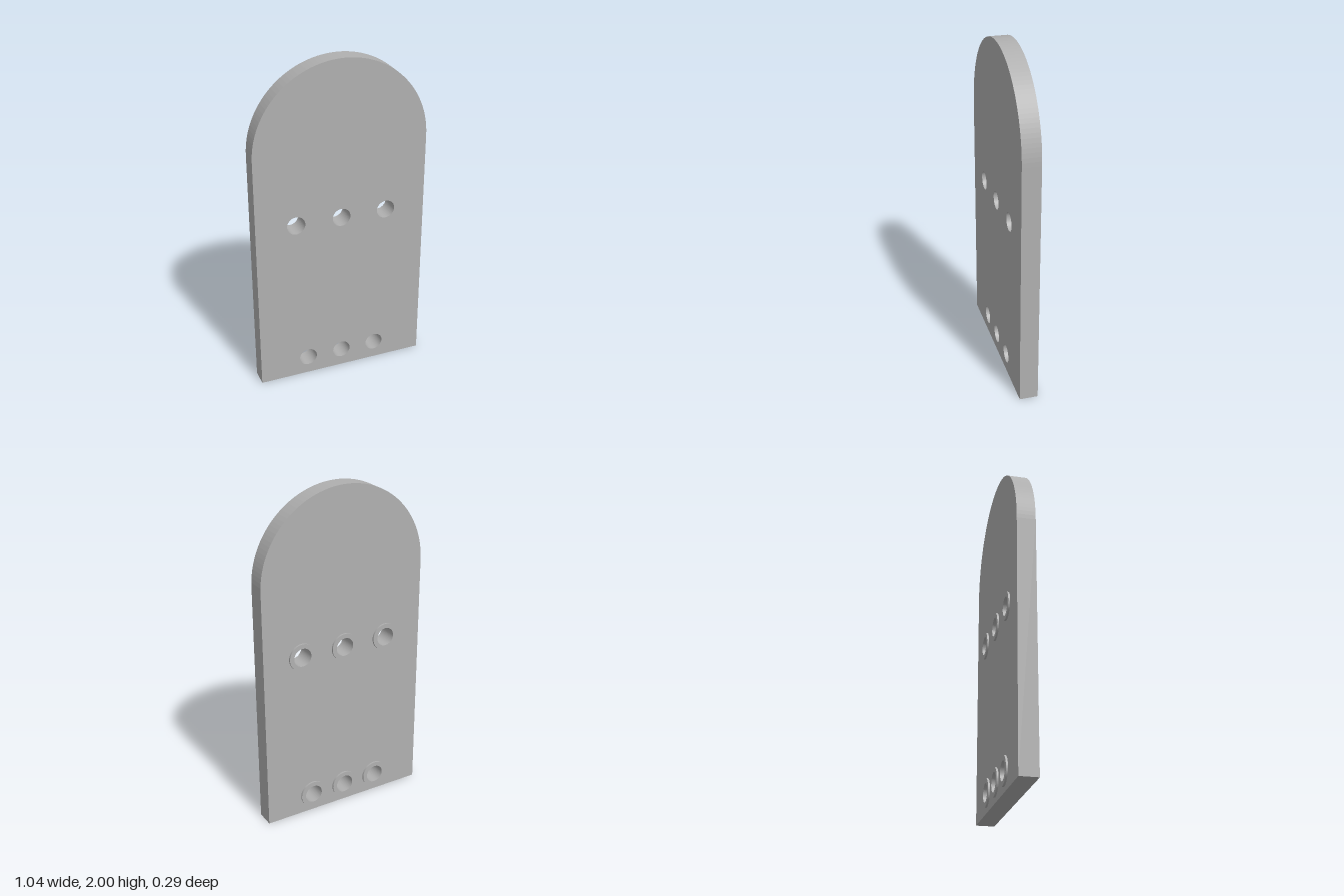
import * as THREE from 'three';

const WIDTH = 1.04, HEIGHT = 2, DEPTH = 0.109;
const HOLE_R = 0.055, RING_R = 0.082, RING_H = 0.011;

// Hole rows: height and spacing
const rows = [{ y: 1.045, step: 0.277 }, { y: 0.114, step: 0.218 }];
const holes = rows.flatMap(({ y, step }) => [-1, 0, 1].map(i => [i * step, y]));

function holePath(x, y) {
  return new THREE.Path().absarc(x, y, HOLE_R, 0, Math.PI * 2, true);
}

export function createModel() {
  const grey = new THREE.MeshStandardMaterial({ color: 0xb0b0b0 });
  grey.name = 'grey';
  const model = new THREE.Group();
  model.name = 'archedPanel';

  // Round-topped plate with through holes
  const r = WIDTH / 2;
  const outline = new THREE.Shape();
  outline.moveTo(-r, 0);
  outline.lineTo(r, 0);
  outline.lineTo(r, HEIGHT - r);
  outline.absarc(0, HEIGHT - r, r, 0, Math.PI, false);
  outline.lineTo(-r, 0);
  outline.holes = holes.map(([x, y]) => holePath(x, y));
  const plateGeo = new THREE.ExtrudeGeometry(outline, { depth: DEPTH, bevelEnabled: false, curveSegments: 32 });
  plateGeo.translate(0, 0, -DEPTH / 2);
  const plate = new THREE.Mesh(plateGeo, grey);
  plate.name = 'plate';
  model.add(plate);

  // Raised collars around the holes on the back
  const ring = new THREE.Shape().absarc(0, 0, RING_R, 0, Math.PI * 2, false);
  ring.holes = [holePath(0, 0)];
  const ringGeo = new THREE.ExtrudeGeometry(ring, { depth: RING_H, bevelEnabled: false, curveSegments: 32 });
  holes.forEach(([x, y]) => {
    const collar = new THREE.Mesh(ringGeo, grey);
    collar.name = 'holeCollar';
    collar.position.set(x, y, -DEPTH / 2 - RING_H);
    model.add(collar);
  });

  // The panel stands turned slightly to one side
  model.rotation.y = THREE.MathUtils.degToRad(10);
  const root = new THREE.Group();
  root.name = 'model';
  root.add(model);
  return root;
}
